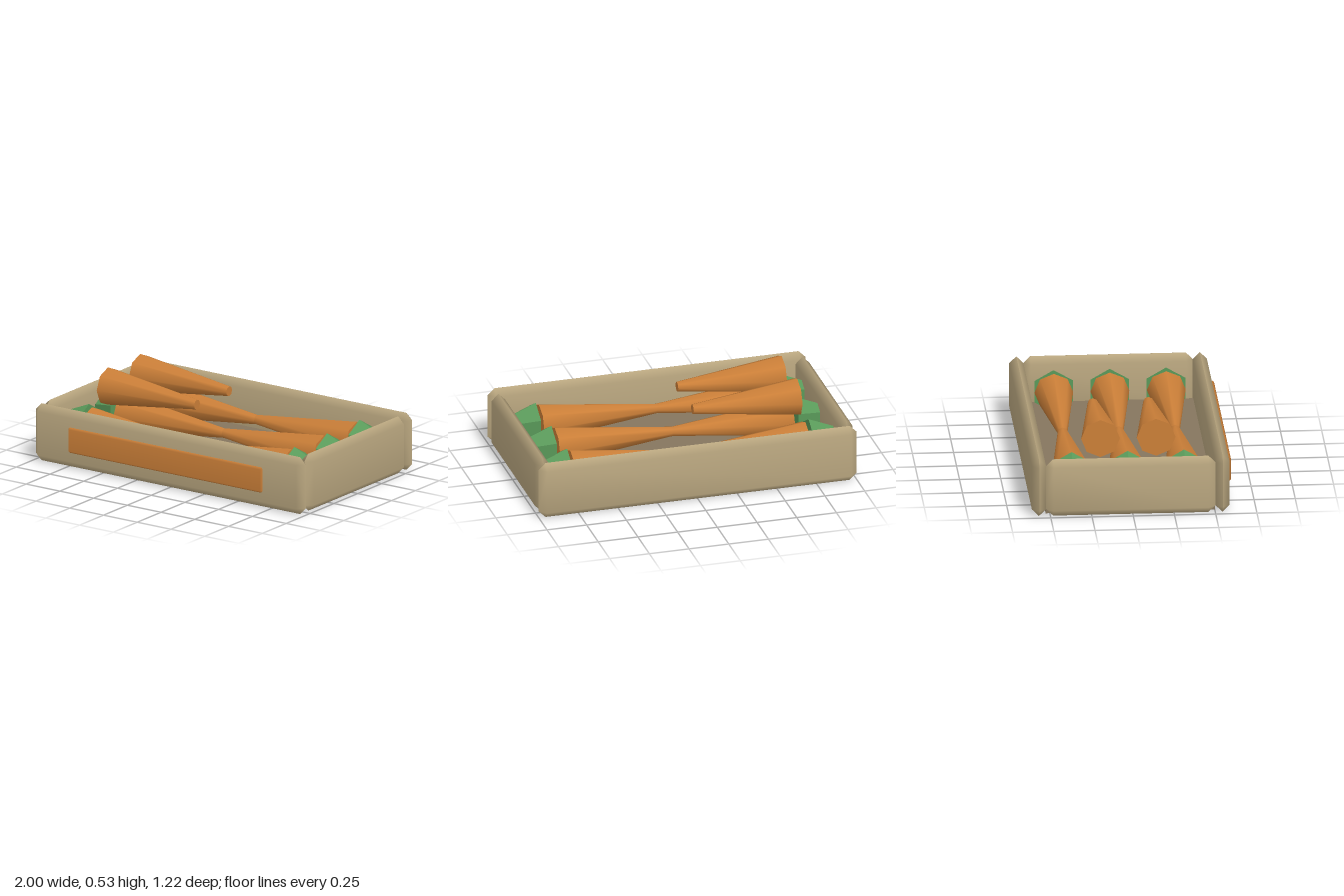
import * as THREE from 'three';
import { mergeVertices } from 'three/addons/utils/BufferGeometryUtils.js';
import { ConvexGeometry } from 'three/addons/geometries/ConvexGeometry.js';

const material = (name, color) => Object.assign(new THREE.MeshStandardMaterial({ color }), { name });

// Box with a single 45 degree chamfer on every edge and soft shared normals
function chamferBox(w, h, d, r) {
  const [a, b, c] = [w / 2, h / 2, d / 2];
  const points = [];
  for (const x of [-1, 1]) for (const y of [-1, 1]) for (const z of [-1, 1]) {
    points.push(
      new THREE.Vector3(x * a, y * (b - r), z * (c - r)),
      new THREE.Vector3(x * (a - r), y * b, z * (c - r)),
      new THREE.Vector3(x * (a - r), y * (b - r), z * c));
  }
  const hull = new ConvexGeometry(points);
  hull.deleteAttribute('normal');
  const geometry = mergeVertices(hull, 1e-5);
  geometry.computeVertexNormals();
  return geometry;
}

// Tapered prism along x, from radius r0 at x0 to radius r1 at x1 (x1 > x0)
function taper(x0, r0, x1, r1, sides, turn = 0) {
  return new THREE.CylinderGeometry(r1, r0, x1 - x0, sides)
    .rotateY(turn).rotateZ(-Math.PI / 2).translate((x0 + x1) / 2, 0, 0);
}

export function createModel() {
  const crate = new THREE.Group();
  crate.name = 'carrotCrate';
  const wood = material('paleWood', 0xb9a67f);
  const floorWood = material('floorWood', 0x85765e);
  const orange = material('carrotOrange', 0xcb7f38);
  const green = material('leafGreen', 0x5a9a5a);
  green.flatShading = true;

  const add = (name, geometry, mat, x, y, z, parent = crate) => {
    const mesh = new THREE.Mesh(geometry, mat);
    mesh.name = name;
    mesh.position.set(x, y, z);
    parent.add(mesh);
    return mesh;
  };

  // Crate walls, floor and front panel
  const longWall = chamferBox(2, 0.36, 0.086, 0.0425);
  add('frontWall', longWall, wood, 0, 0.18, 0.544);
  add('backWall', longWall, wood, 0, 0.18, -0.569);
  const sideWall = chamferBox(0.086, 0.36, 1.027, 0.0425);
  add('leftWall', sideWall, wood, 0.957, 0.18, -0.012);
  add('rightWall', sideWall, wood, -0.957, 0.18, -0.012);
  add('floor', new THREE.BoxGeometry(1.83, 0.08, 1.027), floorWood, 0, 0.041, -0.012);
  add('frontPanel', chamferBox(1.44, 0.16, 0.025, 0.012), orange, 0, 0.185, 0.6);

  // Lower layer: three rows of carrots meeting tip to tip, leaves against the side walls
  const root = taper(0, 0.03, 0.74, 0.118, 8);
  const leaves = taper(0.76, 0.135, 0.94, 0.06, 6, Math.PI / 6);
  for (const z of [-0.357, -0.017, 0.325]) {
    for (const turn of [0, Math.PI]) {
      const carrot = new THREE.Group();
      carrot.name = 'lowerCarrot';
      carrot.position.set(0, 0.2, z);
      carrot.rotation.y = turn;
      add('carrotRoot', root, orange, 0, 0, 0, carrot);
      add('carrotLeaves', leaves, green, 0, 0, 0, carrot);
      crate.add(carrot);
    }
  }

  // Upper layer: two leafless carrots lying in the hollows
  const upperRoot = taper(-0.74, 0.118, -0.08, 0.031, 8);
  for (const z of [-0.18, 0.157]) add('upperCarrot', upperRoot, orange, 0, 0.41, z);

  return crate;
}
